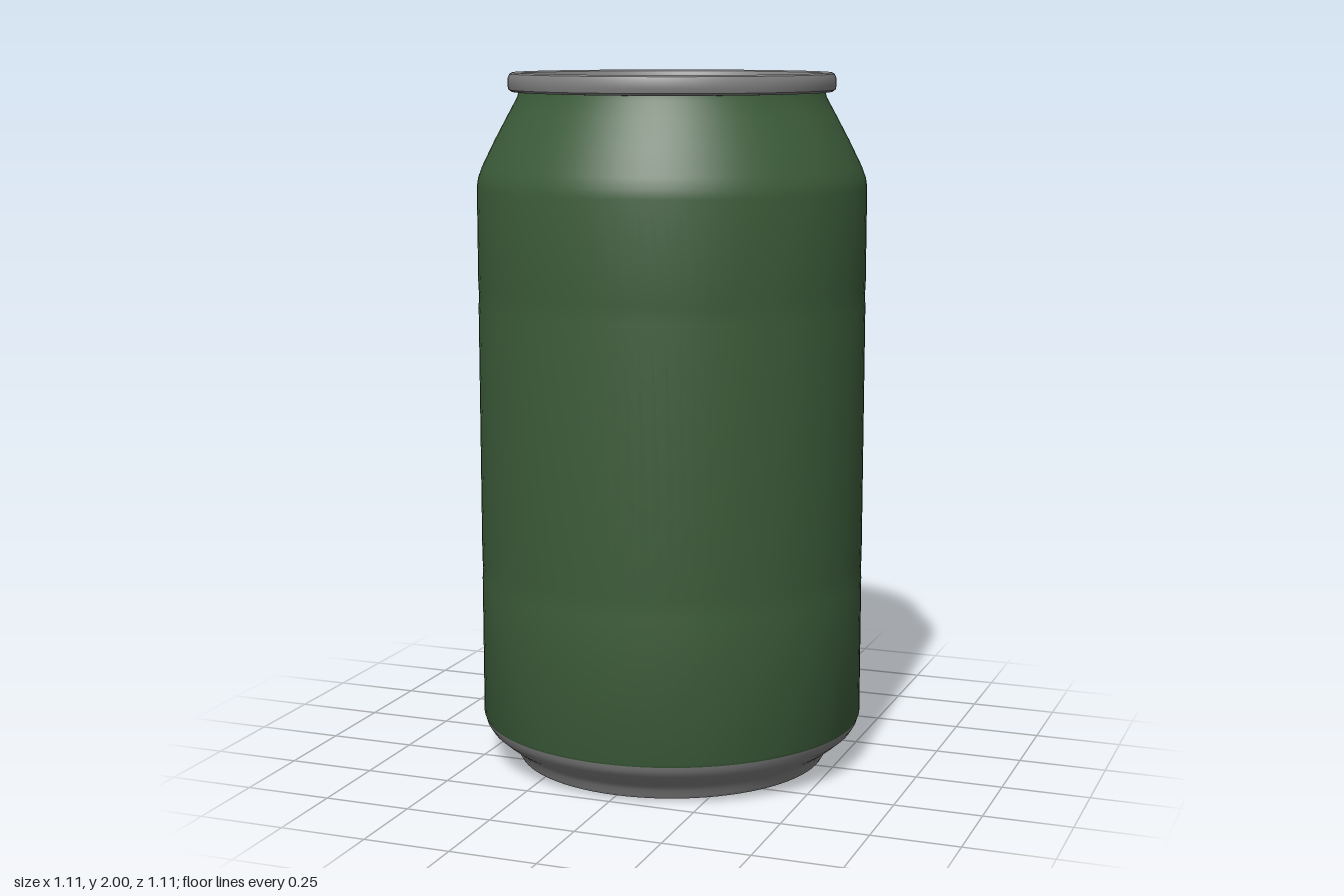
import * as THREE from 'three';
import { toCreasedNormals } from 'three/addons/utils/BufferGeometryUtils.js';

const FLOOR = 1.955; // height of the lid panel

export function createModel() {
  const group = new THREE.Group();
  const paint = new THREE.MeshStandardMaterial({ color: 0x3c5c3a });
  paint.name = 'green paint';
  const metal = new THREE.MeshStandardMaterial({ color: 0x808180 });
  metal.name = 'bare aluminium';

  const add = (name, geometry, material = metal) => {
    const mesh = new THREE.Mesh(geometry, material);
    mesh.name = name;
    group.add(mesh);
    return mesh;
  };
  const lathe = (points, crease = 0.6) => toCreasedNormals(
    new THREE.LatheGeometry(points.map(([r, y]) => new THREE.Vector2(r, y)), 96), crease);

  // Plan outlines are [x, z] points; relief parts rise from the lid panel
  const plan = (points) => points.map(([x, z]) => new THREE.Vector2(x, -z));
  const raise = (name, shape, height, y = FLOOR) => {
    const geometry = new THREE.ExtrudeGeometry(shape, {
      depth: height, curveSegments: 20, bevelEnabled: true,
      bevelThickness: 0.004, bevelSize: 0.006, bevelSegments: 2 });
    geometry.rotateX(-Math.PI / 2);
    return add(name, toCreasedNormals(geometry, 0.7), metal).position.setY(y);
  };
  const ridge = (name, points, radius, closed = false) => {
    const curve = new THREE.CatmullRomCurve3(
      points.map(([x, z]) => new THREE.Vector3(x, 0, z)), closed);
    const geometry = new THREE.TubeGeometry(curve, 48, radius, 8, closed);
    geometry.scale(1, 0.6, 1);
    add(name, geometry).position.y = FLOOR;
  };
  const oval = (cx, cz, rx, rz, turn = 0) =>
    new THREE.Shape().absellipse(cx, -cz, rx, rz, 0, Math.PI * 2, false, turn);

  // Painted wall with shoulder and two faint rolled bands
  add('body', lathe([
    [0.553, 0.125], [0.557, 0.135], [0.557, 0.54], [0.555, 0.57], [0.557, 0.6],
    [0.557, 1.34], [0.555, 1.37], [0.557, 1.4], [0.557, 1.68], [0.553, 1.705],
    [0.542, 1.735], [0.505, 1.81], [0.462, 1.89], [0.44, 1.93], [0.434, 1.952],
  ]), paint);

  // Bare tapered base with the domed underside
  add('base', lathe([
    [0, 0.06], [0.15, 0.056], [0.28, 0.045], [0.38, 0.027], [0.425, 0.012],
    [0.435, 0.003], [0.443, 0], [0.45, 0.002], [0.456, 0.012], [0.46, 0.028],
    [0.475, 0.045], [0.51, 0.07], [0.538, 0.094], [0.55, 0.113], [0.554, 0.128],
  ]));

  // Rolled rim running into the sunken lid panel
  add('lid', lathe([
    [0.43, 1.945], [0.455, 1.946], [0.464, 1.952], [0.467, 1.965], [0.466, 1.985],
    [0.461, 1.996], [0.453, 2], [0.446, 1.996], [0.441, 1.985], [0.432, 1.948],
    [0.427, 1.941], [0.419, 1.94], [0.412, 1.945], [0.405, FLOOR], [0, FLOOR],
  ]));

  // Teardrop panel bead and the score line round the mouth
  ridge('panelBeadLeft', [[-0.13, -0.18], [-0.21, -0.04], [-0.29, 0.1], [-0.3, 0.2],
    [-0.25, 0.28], [-0.16, 0.33], [-0.04, 0.34], [0.04, 0.31]], 0.009);
  ridge('panelBeadRight', [[0.33, -0.17], [0.25, -0.06], [0.17, 0.06], [0.12, 0.18],
    [0.04, 0.31]], 0.009);
  ridge('mouthScore', [[-0.16, 0.04], [-0.23, 0.13], [-0.235, 0.21], [-0.19, 0.28],
    [-0.1, 0.31], [-0.01, 0.3], [0.06, 0.25], [0.1, 0.18], [0.09, 0.12]], 0.008);

  // Pull tab plate, with an open finger hole
  const tab = new THREE.Shape();
  tab.setFromPoints(new THREE.CatmullRomCurve3([
    [-0.12, -0.19], [-0.1, -0.27], [-0.04, -0.33], [0.04, -0.335], [0.1, -0.29],
    [0.125, -0.2], [0.115, -0.1], [0.11, 0.02], [0.06, 0.095], [-0.02, 0.115],
    [-0.1, 0.085], [-0.145, 0.02], [-0.14, -0.08],
  ].map(([x, z]) => new THREE.Vector3(x, -z, 0)), true).getPoints(72).slice(0, -1));
  const hole = new THREE.Path(plan([[-0.08, -0.18], [-0.07, -0.22], [-0.04, -0.255],
    [0.01, -0.265], [0.06, -0.25], [0.09, -0.21], [0.09, -0.17], [0.05, -0.15],
    [-0.02, -0.145]]));
  tab.holes.push(hole);
  raise('pullTab', tab, 0.008);

  // Raised ring and rivet at the middle of the tab
  const ring = new THREE.TorusGeometry(0.112, 0.018, 12, 56);
  ring.rotateX(Math.PI / 2);
  ring.scale(1, 0.6, 1);
  add('tabRing', ring).position.set(-0.015, FLOOR + 0.013, -0.01);
  add('rivet', lathe([[0.07, 0], [0.06, 0.005], [0.035, 0.007], [0.03, 0.012],
    [0.02, 0.015], [0, 0.016]], 1.2)).position.set(0, FLOOR + 0.01, 0);

  // Small pressed beads
  raise('frontBead', oval(0, 0.375, 0.075, 0.012), 0.002);
  raise('sideBead', oval(-0.215, 0.125, 0.016, 0.045, -0.2), 0.003);

  return group;
}
